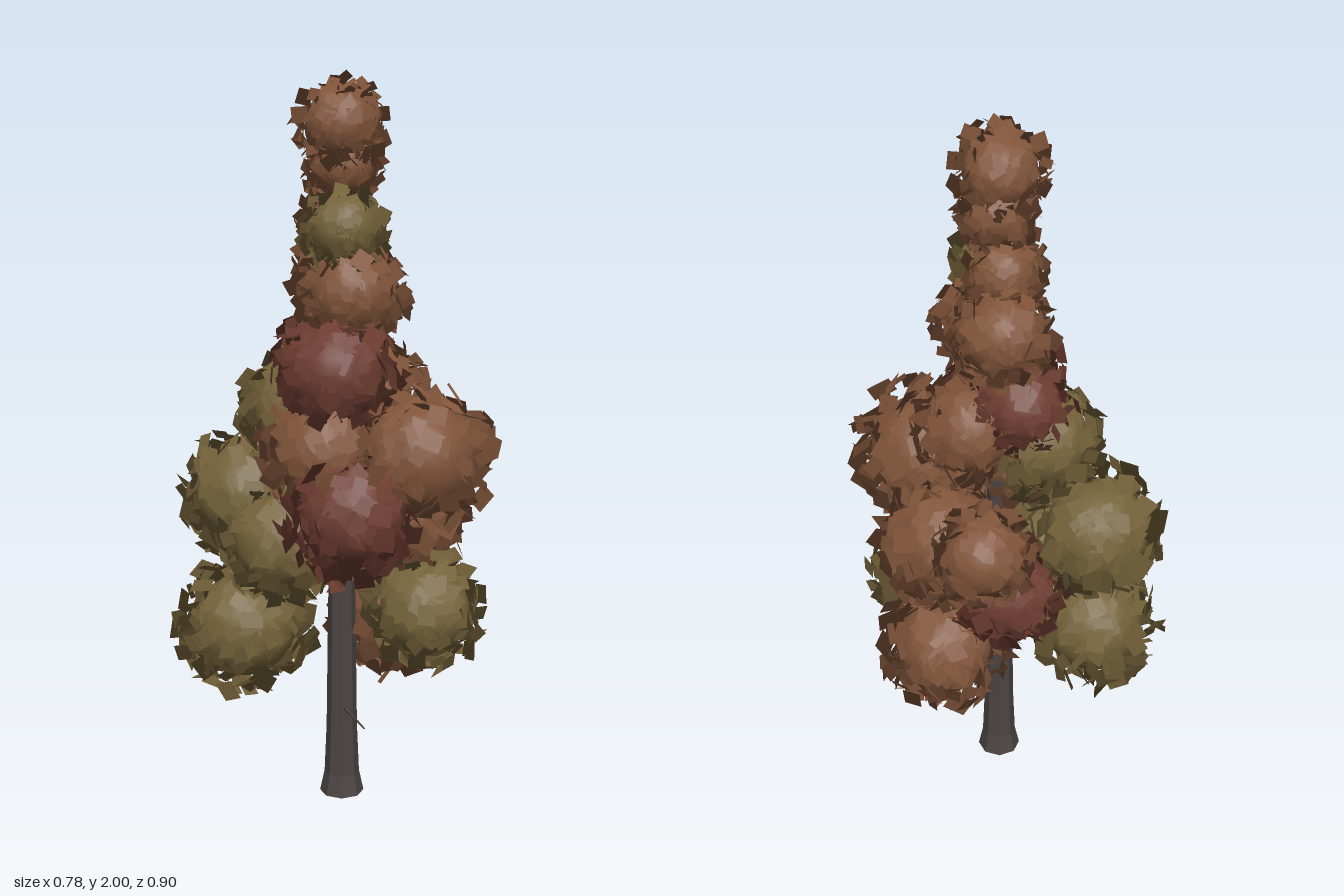
import * as THREE from 'three';
import { mergeGeometries } from 'three/addons/utils/BufferGeometryUtils.js';

const BROWN = 0x80543a, OLIVE = 0x74623a, RED = 0x6e3d31, BARK = 0x4b4543;

// foliage clumps: x, y, z, radius, colour
const CLUMPS = [
  [0.00, 1.855, 0.00, 0.105, BROWN],
  [0.01, 1.75, 0.00, 0.09, BROWN],
  [-0.04, 1.59, 0.05, 0.10, OLIVE],
  [0.02, 1.60, -0.03, 0.09, BROWN],
  [0.07, 1.46, -0.07, 0.115, BROWN],
  [-0.02, 1.42, 0.06, 0.125, BROWN],
  [-0.08, 1.22, 0.06, 0.145, RED],
  [0.00, 1.23, -0.08, 0.115, RED],
  [0.08, 1.15, 0.03, 0.13, BROWN],
  [-0.07, 1.10, -0.09, 0.14, OLIVE],
  [0.06, 1.00, 0.23, 0.17, BROWN],
  [-0.10, 1.01, 0.04, 0.15, BROWN],
  [0.25, 0.92, -0.17, 0.115, BROWN],
  [-0.11, 0.86, 0.15, 0.155, RED],
  [-0.12, 0.85, -0.25, 0.16, OLIVE],
  [-0.15, 0.75, -0.08, 0.145, OLIVE],
  [0.14, 0.80, 0.08, 0.165, BROWN],
  [0.11, 0.71, -0.13, 0.135, RED],
  [-0.17, 0.49, -0.21, 0.16, OLIVE],
  [0.07, 0.58, 0.25, 0.135, OLIVE],
  [0.20, 0.49, 0.03, 0.155, BROWN],
];

function seeded(seed) {
  return () => {
    seed = (seed * 1664525 + 1013904223) >>> 0;
    return seed / 4294967296;
  };
}

// leaf cards spread evenly over a sphere, jittered in tilt, spin, size and height,
// shaded with the sphere's outward normals
function leafShell(r, count, rand) {
  const leaves = [], dummy = new THREE.Object3D(), n = new THREE.Vector3();
  for (let i = 0; i < count; i++) {
    const y = 1 - 2 * (i + 0.5) / count;
    const a = i * 2.39996 + (rand() - 0.5) * 0.6;
    const s = Math.sqrt(1 - y * y);
    n.set(s * Math.cos(a), y, s * Math.sin(a));
    dummy.position.copy(n).multiplyScalar(r * (0.88 + 0.33 * rand()));
    dummy.lookAt(n.x * r * 3, n.y * r * 3, n.z * r * 3);
    dummy.rotateX((rand() - 0.5) * 1.9);
    dummy.rotateY((rand() - 0.5) * 1.9);
    dummy.rotateZ(rand() * Math.PI);
    dummy.updateMatrix();
    const size = r * (0.27 + 0.15 * rand());
    const leaf = new THREE.PlaneGeometry(size, size * (0.8 + 0.3 * rand()));
    leaf.applyMatrix4(dummy.matrix);
    for (let k = 0; k < 4; k++) leaf.attributes.normal.setXYZ(k, n.x, n.y, n.z);
    leaves.push(leaf);
  }
  return mergeGeometries(leaves);
}

export function createModel() {
  const tree = new THREE.Group();
  tree.name = 'autumnTree';
  const rand = seeded(7);

  // faceted trunk with a flared foot
  const bark = new THREE.MeshStandardMaterial({ color: BARK, flatShading: true });
  const profile = [[0, 0], [0.062, 0], [0.049, 0.06], [0.043, 0.2], [0.04, 0.42], [0.03, 1.1], [0.012, 1.75], [0, 1.75]];
  const trunk = new THREE.Mesh(
    new THREE.LatheGeometry(profile.map(([x, y]) => new THREE.Vector2(x, y)), 8), bark);
  trunk.name = 'trunk';
  trunk.position.x = 0.005;
  tree.add(trunk);

  // bare twig low on the trunk
  const start = new THREE.Vector3(0, 0.262, 0), end = new THREE.Vector3(-0.07, 0.255, 0.16);
  const along = end.clone().sub(start);
  const twig = new THREE.Mesh(new THREE.CylinderGeometry(0.002, 0.006, along.length(), 5), bark);
  twig.name = 'twig';
  twig.position.copy(start).lerp(end, 0.5);
  twig.quaternion.setFromUnitVectors(new THREE.Vector3(0, 1, 0), along.normalize());
  tree.add(twig);

  // foliage: smooth core plus loose leaf cards
  const foliage = new THREE.Group();
  foliage.name = 'foliage';
  tree.add(foliage);
  const materials = {};
  for (const color of [BROWN, OLIVE, RED]) {
    materials[color] = {
      core: new THREE.MeshStandardMaterial({ color }),
      leaf: new THREE.MeshStandardMaterial({ color, side: THREE.DoubleSide }),
    };
  }
  for (const [x, y, z, r, color] of CLUMPS) {
    const clump = new THREE.Group();
    clump.name = 'clump';
    clump.position.set(x, y, z);
    const core = new THREE.Mesh(new THREE.SphereGeometry(r * 0.9, 20, 14), materials[color].core);
    core.name = 'clumpCore';
    const leaves = new THREE.Mesh(leafShell(r, 180, rand), materials[color].leaf);
    leaves.name = 'leaves';
    clump.add(core, leaves);
    foliage.add(clump);
  }
  return tree;
}
